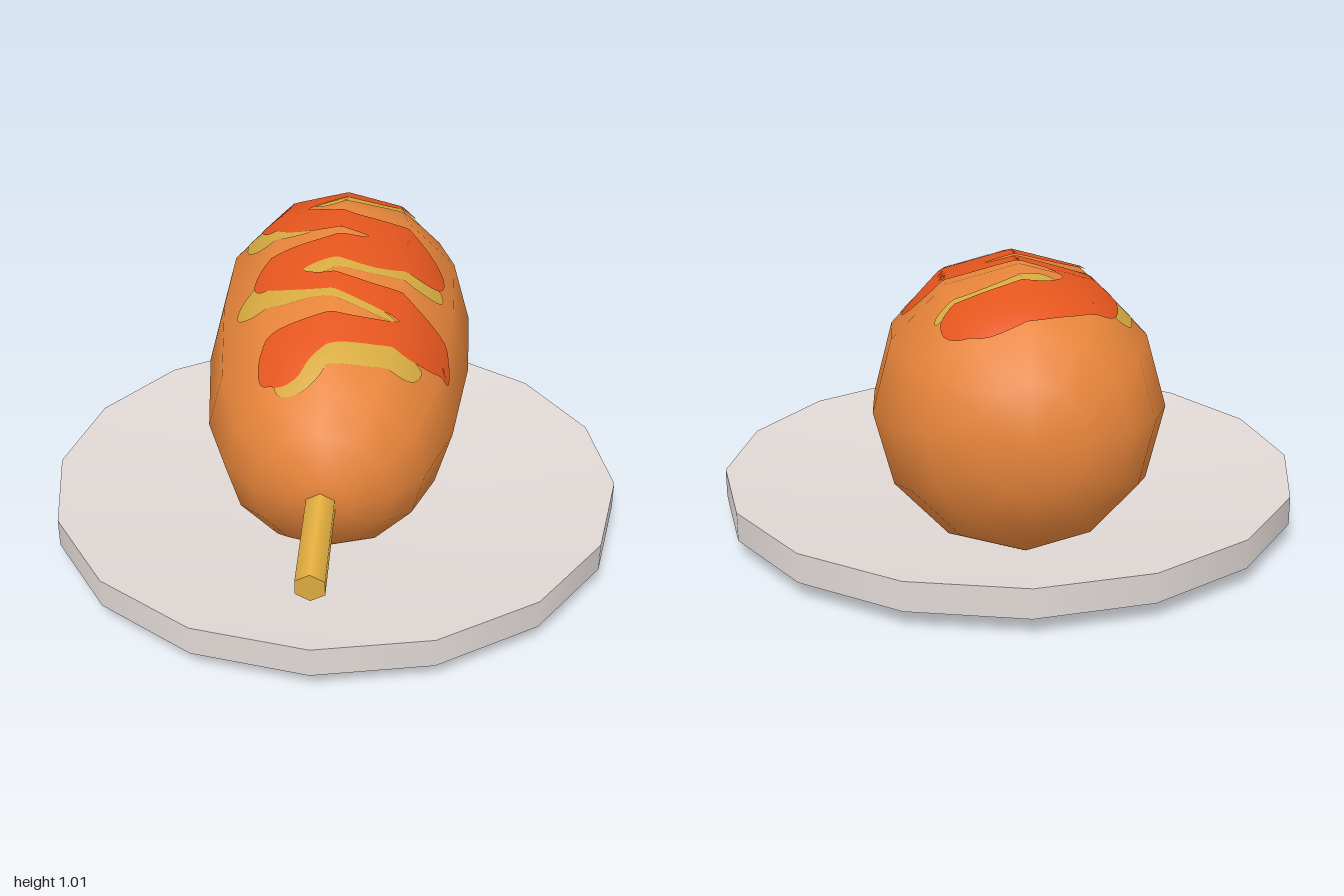
import * as THREE from 'three';
import { mergeVertices } from 'three/addons/utils/BufferGeometryUtils.js';

const paint = (name, color) => {
  const m = new THREE.MeshStandardMaterial({ color });
  m.name = name;
  return m;
};

// Turned shape with smooth normals, also at the poles
function lathe(pts, sides) {
  const turned = new THREE.LatheGeometry(pts.map(([r, y]) => new THREE.Vector2(r, y)), sides);
  turned.deleteAttribute('normal');
  turned.deleteAttribute('uv');
  const g = mergeVertices(turned);
  g.computeVertexNormals();
  return g;
}

// Smooth closed outline from points in hundredths: x, z, x, z ...
function outline(list, steps) {
  const pts = [];
  for (let i = 0; i < list.length; i += 2) pts.push(new THREE.Vector3(list[i] / 100, list[i + 1] / 100, 0));
  return new THREE.CatmullRomCurve3(pts, true, 'centripetal').getPoints(steps).slice(0, -1)
    .map((p) => new THREE.Vector2(p.x, p.y));
}

// Lays a flat outline onto the top of a mesh as a thin skin
function drape(points, target, lift) {
  const ray = new THREE.Raycaster();
  const down = new THREE.Vector3(0, -1, 0);
  const pos = [], nor = [];
  const put = (p) => {
    ray.set(new THREE.Vector3(p.x, 3, p.y), down);
    const hit = ray.intersectObject(target)[0];
    const n = hit.normal.clone().normalize();
    pos.push(...hit.point.addScaledVector(n, lift).toArray());
    nor.push(...n.toArray());
  };
  // Halve the longest edge until the pieces follow the surface
  const split = (a, b, c) => {
    const ab = a.distanceTo(b), bc = b.distanceTo(c), ca = c.distanceTo(a);
    const longest = Math.max(ab, bc, ca);
    if (longest < 0.022) return [a, b, c].forEach(put);
    if (longest === bc) return split(b, c, a);
    if (longest === ca) return split(c, a, b);
    const m = a.clone().add(b).multiplyScalar(0.5);
    split(a, m, c);
    split(m, b, c);
  };
  for (const [i, j, k] of THREE.ShapeUtils.triangulateShape(points, [])) {
    const a = points[i], b = points[j], c = points[k];
    const turn = (b.x - a.x) * (c.y - a.y) - (b.y - a.y) * (c.x - a.x);
    if (turn < 0) split(a, b, c);
    else split(a, c, b);
  }
  const g = new THREE.BufferGeometry();
  g.setAttribute('position', new THREE.Float32BufferAttribute(pos, 3));
  g.setAttribute('normal', new THREE.Float32BufferAttribute(nor, 3));
  return g;
}

export function createModel() {
  const model = new THREE.Group();
  const add = (name, geometry, material, parent = model) => {
    const mesh = new THREE.Mesh(geometry, material);
    mesh.name = name;
    parent.add(mesh);
    return mesh;
  };
  const plateGrey = paint('plate grey', 0xe0d8d5);
  const batterBrown = paint('batter brown', 0xe9863b);
  const ketchupRed = paint('ketchup red', 0xe4551e);
  const mustardYellow = paint('mustard yellow', 0xd6aa40);
  const stickTan = paint('stick tan', 0xe6b040);

  // Plate: upright rim, shallow dished top and shallow underside
  const plate = new THREE.Group();
  plate.name = 'plate';
  model.add(plate);
  add('plateRim', new THREE.CylinderGeometry(1, 1, 0.1, 16, 1, true).translate(0, 0.11, 0), plateGrey, plate);
  add('plateTop', lathe([[1, 0.16], [0.5, 0.11], [0, 0.11]], 16), plateGrey, plate);
  add('plateUnderside', lathe([[0, 0], [0.5, 0], [1, 0.06]], 16), plateGrey, plate);

  // Battered sausage and stick share one axis, dipping towards the front
  const lay = (g) => g.rotateX(Math.PI / 2 + 0.12).translate(0, 0.482, 0);
  const batter = add('batter', lay(lathe([
    [0, -0.95], [0.17, -0.925], [0.31, -0.845], [0.4, -0.715], [0.465, -0.51], [0.465, -0.18],
    [0.415, 0.2], [0.33, 0.42], [0.23, 0.53], [0.1, 0.595], [0, 0.602],
  ], 12)), batterBrown);
  add('stick', lay(new THREE.CylinderGeometry(0.053, 0.053, 0.5, 6).translate(0, 0.72, 0)), stickTan);

  // Ketchup zigzag
  const zigzag = [
    24, -71, 14, -79, 3, -78, -10, -73, -21, -68, -28, -59, -30, -48, -27, -40, -20, -34, -11, -31,
    10, -28, -2, -25, -16, -22, -25, -16, -28, -8, -24, -1, -12, 3, 9, 8, 22, 13, 9, 16,
    -7, 18, -18, 22, -22, 30, -20, 39, -14, 42, -9, 40, -5, 34, 3, 29, 17, 26, 27, 24,
    36, 19, 39, 12, 37, 3, 25, -1, 9, -2, -6, -4, -11, -7, -5, -10, 14, -10, 27, -14,
    35, -20, 36, -29, 32, -36, 25, -40, 14, -41, 3, -41, -6, -44, -13, -49, -10, -53, -2, -57,
    14, -60, 24, -64,
  ];
  add('ketchup', drape(outline(zigzag, 200), batter, 0.007), ketchupRed);

  // Mustard streaks, tucked under the edges of the ketchup
  const streaks = [
    [-11, -53, -2, -58, 14, -62, 26, -64, 26, -60, 14, -57, 3, -54, -7, -50],
    [-28, -58, -33, -56, -35, -48, -34, -39, -28, -32, -20, -30, -11, -31, -18, -36, -26, -43, -26, -56],
    [35, -20, 36, -14, 27, -9, 14, -7, 3, -6, -6, -4, -12, -7, -5, -11, 14, -12, 27, -16],
    [-27, -8, -32, -5, -33, 1, -27, 7, -18, 9, -7, 8, 3, 10, 22, 14, 9, 6, -13, 1, -24, -4],
    [-16, 41, -14, 45, -7, 45, -2, 41, 1, 37, 14, 34, 27, 30, 30, 24, 17, 25, 3, 28, -6, 33, -10, 40],
  ];
  const mustard = new THREE.Group();
  mustard.name = 'mustard';
  model.add(mustard);
  for (const s of streaks) add('mustardStreak', drape(outline(s, 60), batter, 0.004), mustardYellow, mustard);

  return model;
}
